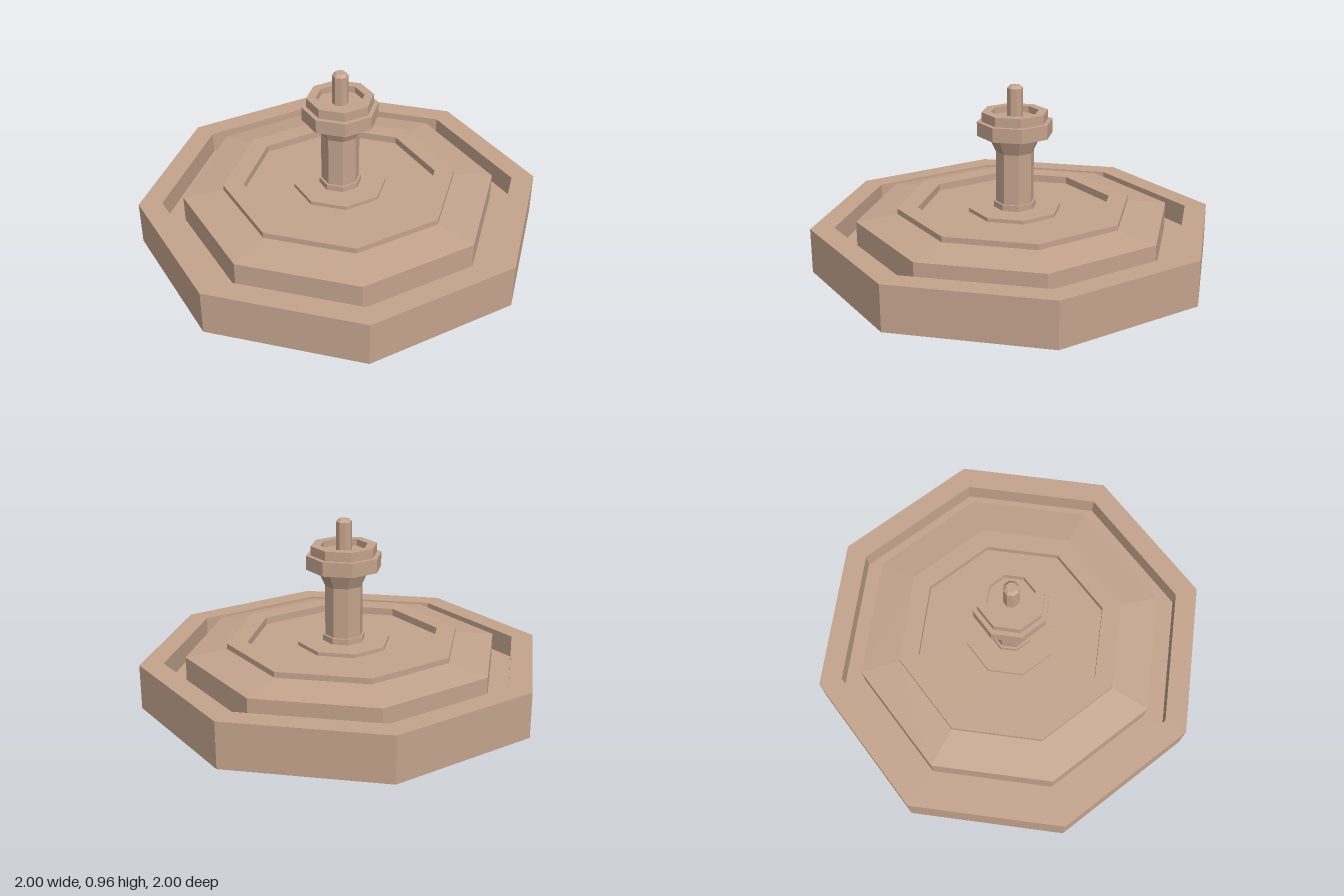
import * as THREE from 'three';

// Octagonal turned part: profile is [distance to flat side, height], listed upward/outer to inner
function octagonal(name, profile, material) {
  const k = 1 / Math.cos(Math.PI / 8);
  const points = profile.map(([r, y]) => new THREE.Vector2(r * k, y));
  const geometry = new THREE.LatheGeometry(points, 8, Math.PI / 8).toNonIndexed();
  geometry.computeVertexNormals();
  const mesh = new THREE.Mesh(geometry, material);
  mesh.name = name;
  return mesh;
}

export function createModel() {
  const stone = new THREE.MeshStandardMaterial({ color: 0xc4a38d, flatShading: true });
  stone.name = 'sandstone';

  const fountain = new THREE.Group();
  fountain.name = 'fountain';

  const parts = {
    // outer wall, rim and trough floor
    basin: [[0, 0], [1, 0], [1, 0.24], [0.885, 0.24], [0.885, 0.12], [0.78, 0.12]],
    // sloping island with a raised kerb and a sunken middle
    steppedIsland: [[0.78, 0.12], [0.78, 0.265], [0.58, 0.295], [0.58, 0.325],
      [0.48, 0.325], [0.48, 0.285], [0.23, 0.285]],
    columnPlinth: [[0.23, 0.285], [0.23, 0.305], [0.105, 0.305]],
    columnCollar: [[0.105, 0.305], [0.105, 0.337], [0.094, 0.337]],
    // shaft flaring out under the bowl
    column: [[0.094, 0.337], [0.094, 0.61], [0.133, 0.7]],
    // two-tier bowl with a recessed top
    bowl: [[0.133, 0.7], [0.186, 0.7], [0.186, 0.775], [0.163, 0.775], [0.163, 0.825],
      [0.117, 0.825], [0.117, 0.79], [0.039, 0.79]],
    spout: [[0.039, 0.79], [0.039, 0.948], [0.024, 0.963], [0, 0.963]],
  };
  for (const [name, profile] of Object.entries(parts)) {
    fountain.add(octagonal(name, profile, stone));
  }
  return fountain;
}
